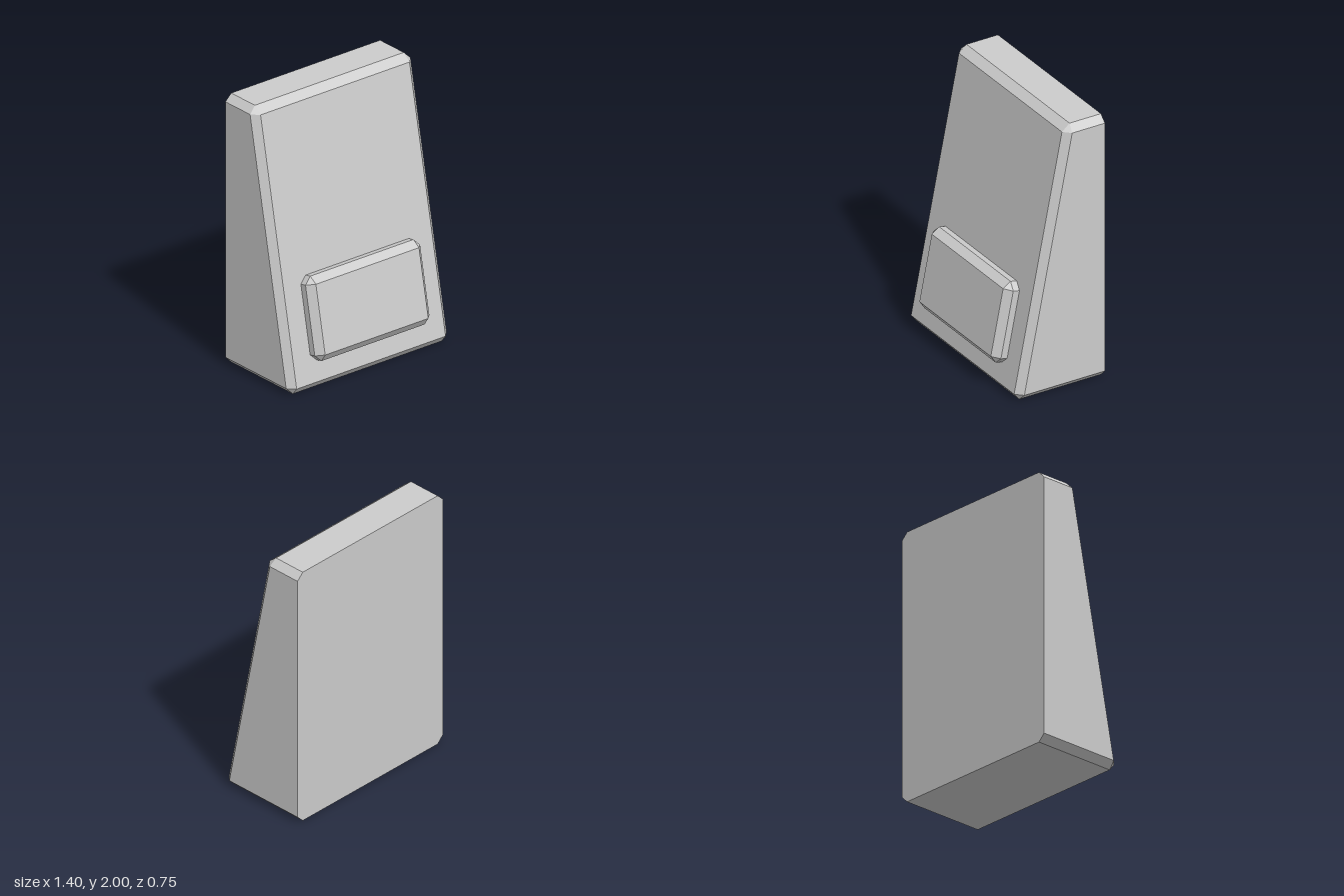
import * as THREE from 'three';

const BEVEL = 0.05;
const SLOPE = 0.2; // how far the front leans back per unit of height

// Slab with an eight-sided outline and a bevelled front face.
// place(x, y, layer) gives the 3D point; layer 0 = back, 1 = rim, 2 = front face.
function bevelledSlab(name, halfW, halfH, place, material) {
  const w = halfW - BEVEL, h = halfH - BEVEL;
  const outline = [
    [halfW, -h], [halfW, h], [w, halfH], [-w, halfH],
    [-halfW, h], [-halfW, -h], [-w, -halfH], [w, -halfH],
  ];
  const face = [[w, -h], [w, h], [-w, h], [-w, -h]];
  const back = outline.map(([x, y]) => place(x, y, 0));
  const rim = outline.map(([x, y]) => place(x, y, 1));
  const front = face.map(([x, y]) => place(x, y, 2));

  const positions = [];
  const polygon = (...p) => {
    for (let i = 1; i < p.length - 1; i++) {
      for (const v of [p[0], p[i], p[i + 1]]) positions.push(...v);
    }
  };
  polygon(...front);
  polygon(...[...back].reverse());
  // Straight sides
  for (let i = 0; i < 8; i++) {
    const j = (i + 1) % 8;
    polygon(back[i], back[j], rim[j], rim[i]);
  }
  // Bevel strips and the corner triangles between them
  for (let k = 0; k < 4; k++) {
    const a = 2 * k, b = a + 1, c = (a + 2) % 8, next = (k + 1) % 4;
    polygon(rim[a], rim[b], front[next], front[k]);
    polygon(rim[b], rim[c], front[next]);
  }

  const geometry = new THREE.BufferGeometry();
  geometry.setAttribute('position', new THREE.Float32BufferAttribute(positions, 3));
  geometry.computeVertexNormals();
  const mesh = new THREE.Mesh(geometry, material);
  mesh.name = name;
  return mesh;
}

export function createModel() {
  const group = new THREE.Group();
  group.name = 'slopedBlock';
  const material = new THREE.MeshStandardMaterial({ color: 0xcccccc, flatShading: true });

  // Wedge body: vertical back, sloping front
  const frontZ = (y) => 0.325 - SLOPE * y;
  group.add(bevelledSlab('body', 0.7, 1, (x, y, layer) => {
    const height = y + 1;
    const z = [-0.375, frontZ(height) - BEVEL, frontZ(height)][layer];
    return [x, height, z];
  }, material));

  // Raised panel lying on the sloping front, its back slightly sunk in
  const depths = [-0.02, 0.05, 0.1];
  const panel = bevelledSlab('frontPanel', 0.5, 0.3, (x, y, layer) => [x, y, depths[layer]], material);
  panel.position.set(0, 0.49, frontZ(0.49));
  panel.rotation.x = -Math.atan(SLOPE);
  group.add(panel);

  return group;
}
